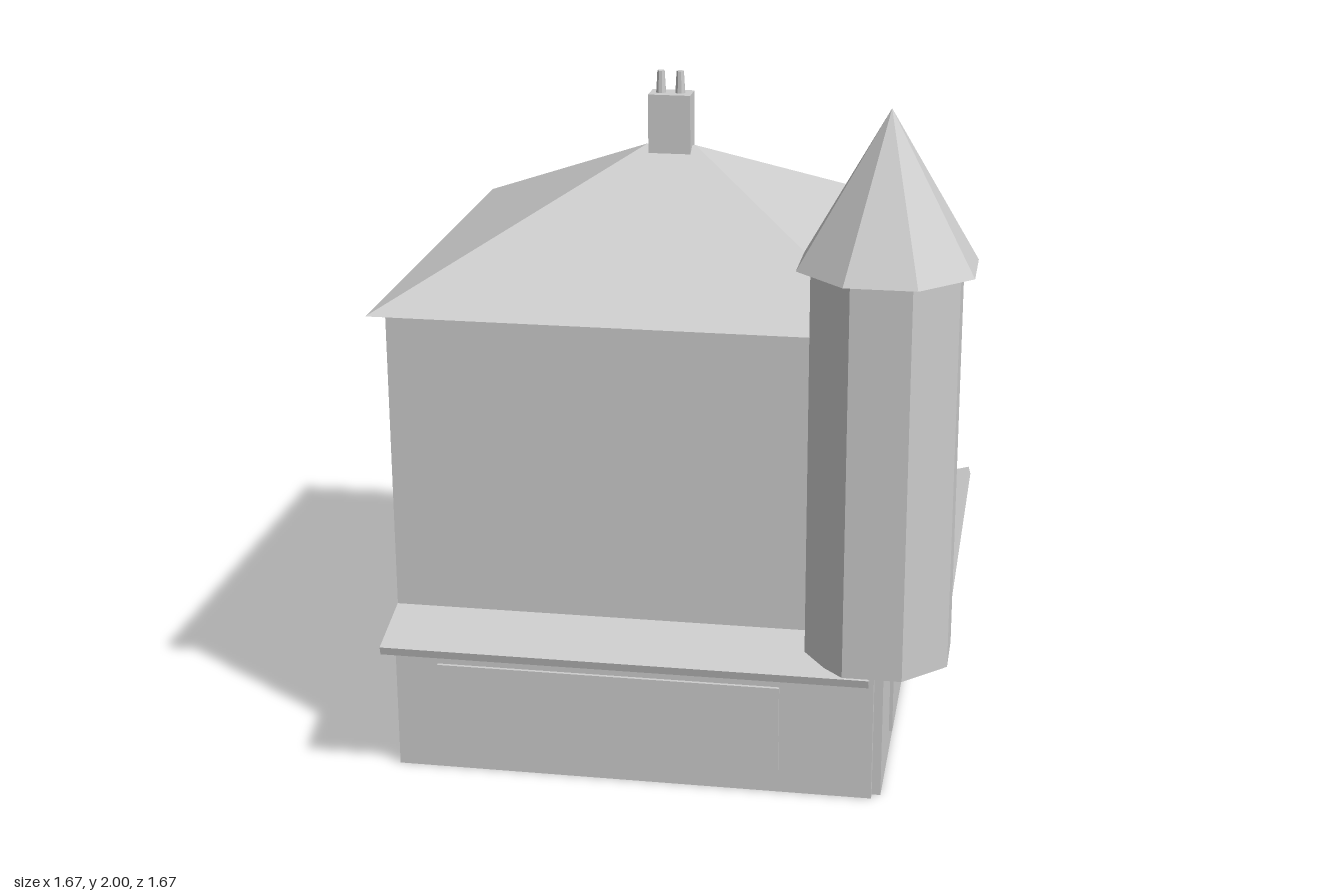
import * as THREE from 'three';
import { ConvexGeometry } from 'three/addons/geometries/ConvexGeometry.js';

export function createModel() {
  const model = new THREE.Group();
  model.name = 'cornerHouse';
  const stone = new THREE.MeshStandardMaterial({ color: 0xcccccc, flatShading: true });
  stone.name = 'paleGrey';

  const add = (name, geometry, parent = model) => {
    const mesh = new THREE.Mesh(geometry, stone);
    mesh.name = name;
    parent.add(mesh);
    return mesh;
  };

  // Box given by its limits on each axis
  const box = (name, [x0, x1], [y0, y1], [z0, z1], parent) => {
    const mesh = add(name, new THREE.BoxGeometry(x1 - x0, y1 - y0, z1 - z0), parent);
    mesh.position.set((x0 + x1) / 2, (y0 + y1) / 2, (z0 + z1) / 2);
    return mesh;
  };

  // Tapered prism standing on y0
  const prism = (name, rTop, rBottom, y0, y1, x, z, sides) => {
    const geometry = new THREE.CylinderGeometry(rTop, rBottom, y1 - y0, sides);
    geometry.rotateY(Math.PI / sides);
    const mesh = add(name, geometry);
    mesh.position.set(x, (y0 + y1) / 2, z);
    return mesh;
  };

  // Main block
  box('walls', [-0.79, 0.59], [0, 1.37], [-0.79, 0.59]);

  // Hipped roof with a short ridge
  const eave = 1.375, ridge = 1.72, lo = -0.835, hi = 0.63;
  add('hipRoof', new ConvexGeometry([
    new THREE.Vector3(lo, eave, lo), new THREE.Vector3(hi, eave, lo),
    new THREE.Vector3(hi, eave, hi), new THREE.Vector3(lo, eave, hi),
    new THREE.Vector3(-0.175, ridge, -0.1025), new THREE.Vector3(-0.03, ridge, -0.1025),
  ]));

  // Chimney with two pots
  box('chimney', [-0.165, -0.04], [1.7, 1.875], [-0.143, -0.062]);
  for (const x of [-0.133, -0.076]) prism('chimneyPot', 0.011, 0.015, 1.875, 1.94, x, -0.1025, 8);

  // Shop fronts on the front and left sides, each with a raised window panel
  const front = new THREE.Group();
  front.name = 'frontShop';
  box('shopFront', [-0.795, 0.592], [0, 0.43], [0.58, 0.617], front);
  box('shopWindow', [-0.67, 0.325], [0.07, 0.33], [0.61, 0.627], front);
  const side = new THREE.Group();
  side.name = 'sideShop';
  box('shopFront', [0.58, 0.617], [0, 0.43], [-0.795, 0.592], side);
  box('shopWindow', [0.61, 0.627], [0.07, 0.33], [-0.67, 0.325], side);
  model.add(front, side);

  // Canopies: the front one slopes down outward, the side one slopes up
  const tilt = 0.26;
  const frontCanopy = add('frontCanopy', new THREE.BoxGeometry(1.38, 0.025, 0.2));
  frontCanopy.position.set(-0.1, 0.4625, 0.685);
  frontCanopy.rotation.x = tilt;
  const sideCanopy = add('sideCanopy', new THREE.BoxGeometry(0.2, 0.025, 1.38));
  sideCanopy.position.set(0.685, 0.4625, -0.1);
  sideCanopy.rotation.z = tilt;

  // Octagonal corner turret
  prism('turret', 0.214, 0.214, 0.46, 1.58, 0.6, 0.6, 8);
  prism('turretRoof', 0, 0.254, 1.577, 2, 0.6, 0.6, 8);

  return model;
}
